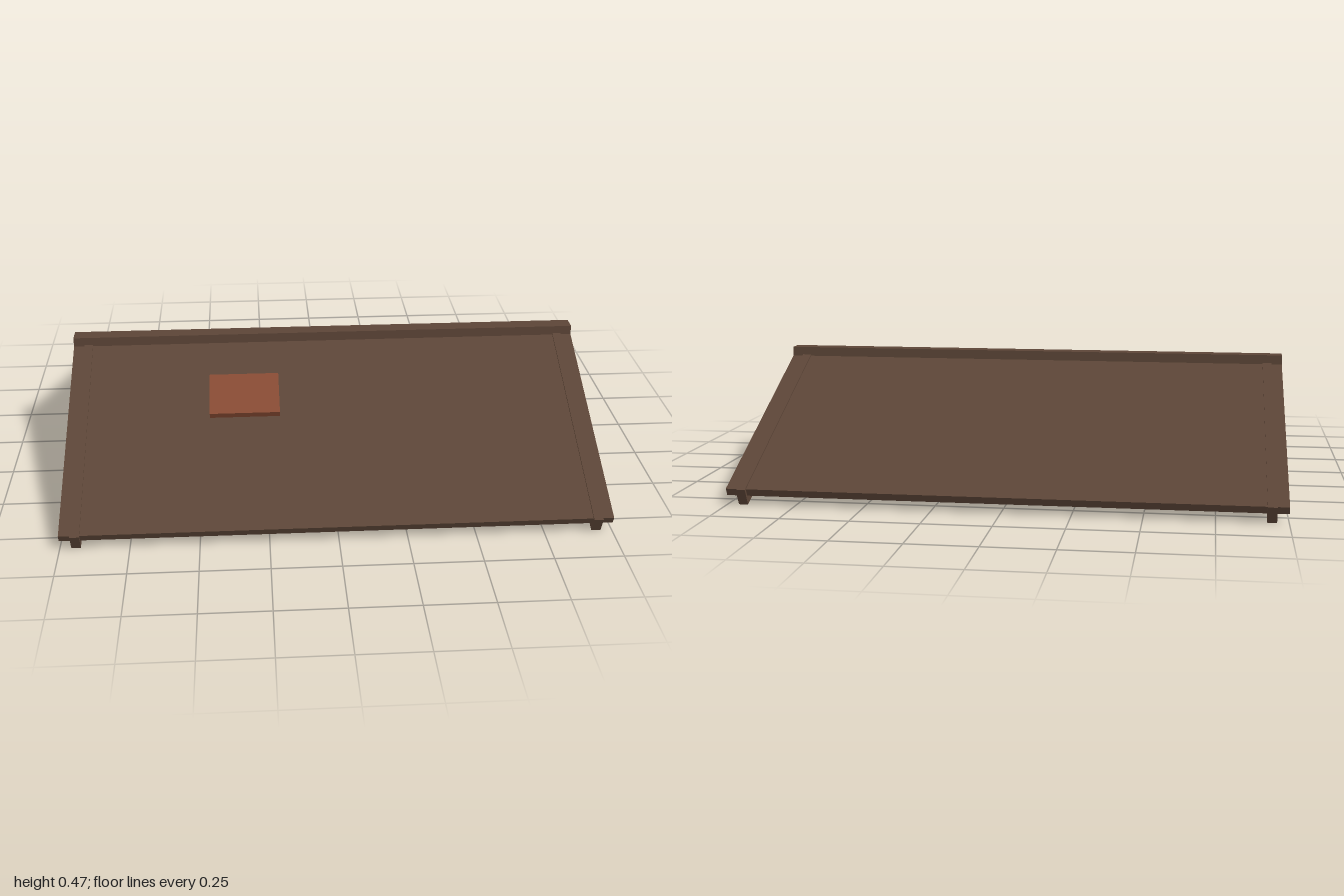
import * as THREE from 'three';

const PITCH = THREE.MathUtils.degToRad(25);
const C = Math.cos(PITCH), S = Math.sin(PITCH);

// Point in (z, y) at distance s down the slope and n out along its normal
const onSlope = (s, n) => [s * C + n * S, n * C - s * S];

// Mitred inverted V, from normal distance n0 to n1, extruded along x
function chevron(n0, n1, s, width) {
  const [zo, yo] = onSlope(s, n1), [zi, yi] = onSlope(s, n0);
  const outline = [
    [0, n1 / C], [-zo, yo], [-zi, yi], [0, n0 / C], [zi, yi], [zo, yo],
  ].map(([z, y]) => new THREE.Vector2(z, y));
  const geo = new THREE.ExtrudeGeometry(new THREE.Shape(outline), { depth: width, bevelEnabled: false });
  return geo.translate(0, 0, -width / 2).rotateY(Math.PI / 2);
}

export function createModel() {
  const wood = new THREE.MeshStandardMaterial({ color: 0x5c4537 });
  wood.name = 'darkWood';
  const clay = new THREE.MeshStandardMaterial({ color: 0x864a33 });
  clay.name = 'redClay';

  const group = new THREE.Group();
  group.name = 'gableRoof';
  const add = (name, geo, mat, x = 0, y = 0, z = 0) => {
    const mesh = new THREE.Mesh(geo, mat);
    mesh.name = name;
    mesh.position.set(x, y - 0.003, z);
    group.add(mesh);
    return mesh;
  };

  // Two sloping roof panels
  add('roofPanels', chevron(0.384, 0.413, 0.735, 2), wood);

  // Rafters near both gable ends
  for (const side of [-1, 1]) {
    add(side > 0 ? 'leftRafter' : 'rightRafter', chevron(0.351, 0.418, 0.745, 0.034), wood, side * 0.942);
  }

  // Ridge cap
  add('ridgeCap', new THREE.BoxGeometry(2, 0.045, 0.063), wood, 0, 0.4545, 0);

  // Loose tile above the front slope
  const [tz, ty] = onSlope(0.163, 0.469);
  add('looseTile', new THREE.BoxGeometry(0.264, 0.024, 0.192), clay, -0.328, ty + 0.003, tz).rotation.x = PITCH;

  return group;
}
